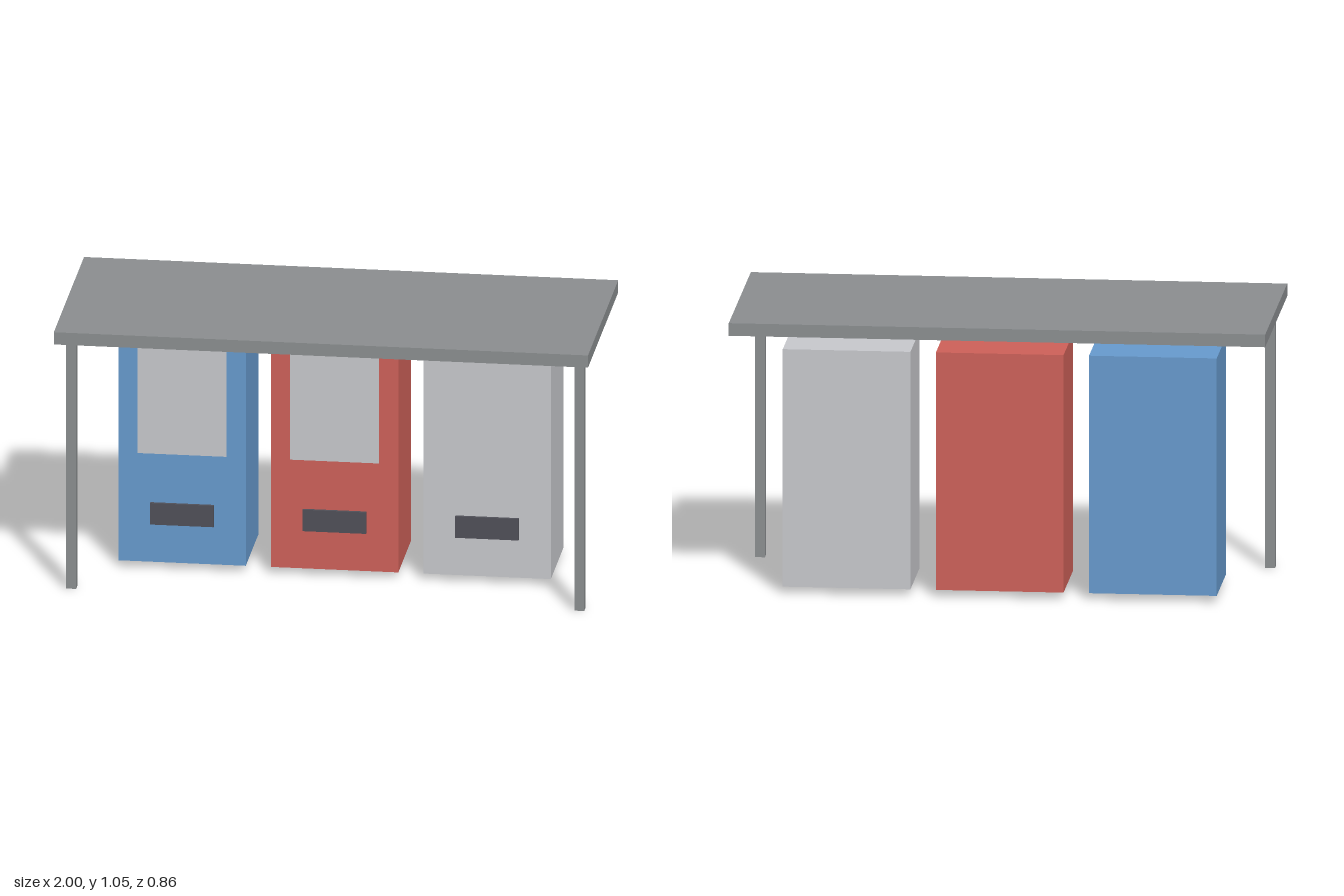
import * as THREE from 'three';

const material = (name, color) => {
  const m = new THREE.MeshStandardMaterial({ color });
  m.name = name;
  return m;
};

// Box given by its centre in x and its extents in y and z
function box(name, mat, x, width, [y0, y1], [z0, z1]) {
  const mesh = new THREE.Mesh(new THREE.BoxGeometry(width, y1 - y0, z1 - z0), mat);
  mesh.position.set(x, (y0 + y1) / 2, (z0 + z1) / 2);
  mesh.name = name;
  return mesh;
}

export function createModel() {
  const steel = material('steel grey', 0x8a8d8f);
  const blue = material('blue', 0x6699cc);
  const red = material('red', 0xcc6058);
  const pale = material('pale grey', 0xc6c7cb);
  const dark = material('dark grey', 0x4f4f57);

  const model = new THREE.Group();
  model.name = 'vendingShelter';

  // Flat roof on two front posts
  model.add(box('roof', steel, 0, 2, [1, 1.048], [-0.428, 0.428]));
  for (const side of [-1, 1]) {
    model.add(box(side > 0 ? 'leftPost' : 'rightPost', steel, side * 0.951, 0.037, [0, 1], [0.268, 0.306]));
  }

  // Row of vending machines, each with a window panel and a dispensing slot
  [blue, red, pale].forEach((color, i) => {
    const machine = new THREE.Group();
    machine.name = ['rightMachine', 'middleMachine', 'leftMachine'][i];
    machine.position.x = (i - 1) * 0.571;
    machine.add(
      box('cabinet', color, 0, 0.476, [0.025, 0.929], [-0.321, 0.036]),
      box('displayWindow', pale, 0, 0.333, [0.454, 0.881], [0.036, 0.048]),
      box('dispensingSlot', dark, 0, 0.238, [0.175, 0.259], [0.036, 0.048])
    );
    model.add(machine);
  });

  return model;
}
